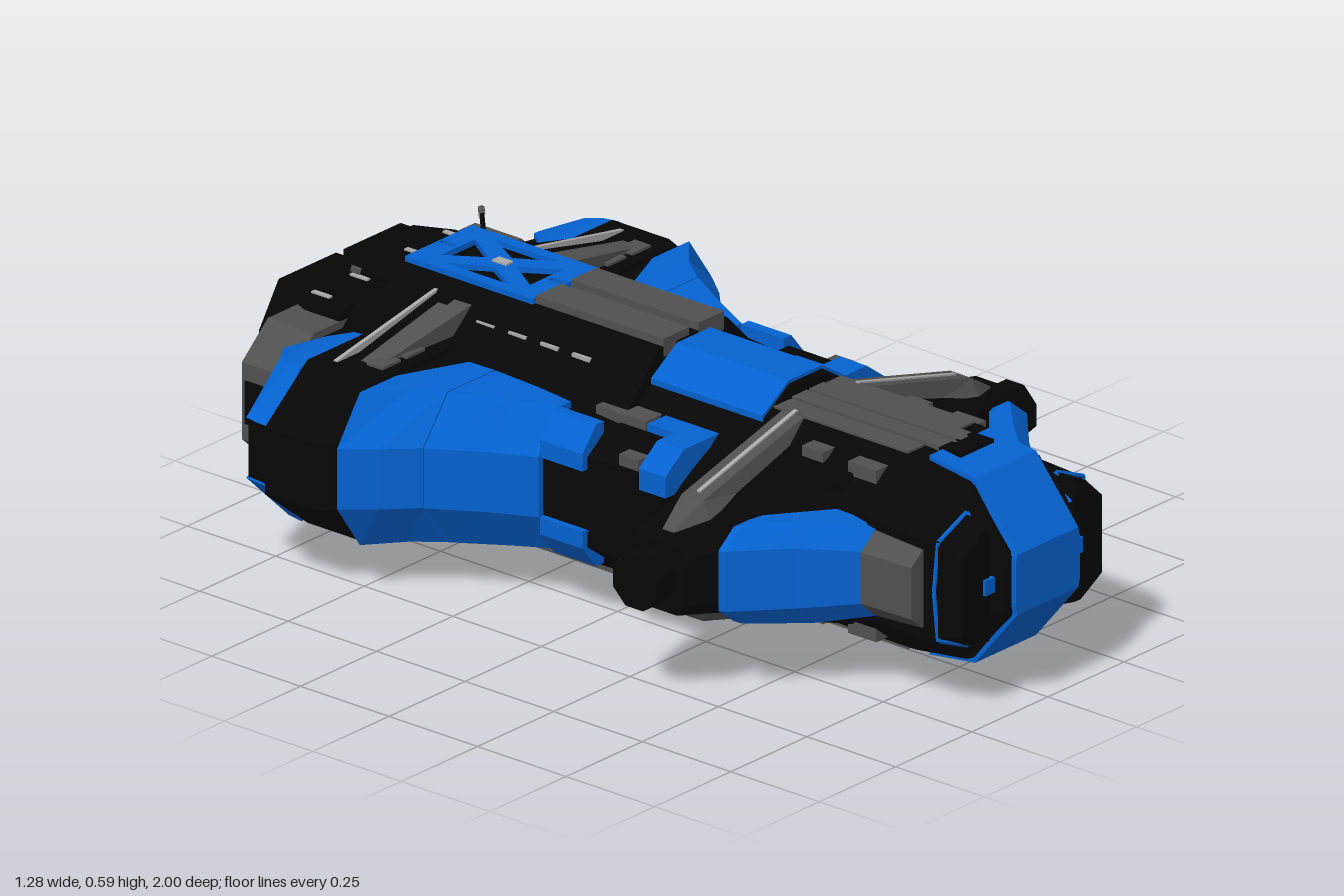
import * as THREE from 'three';

const mat = (color) => new THREE.MeshStandardMaterial({ color, flatShading: true });

// Solid from matching cross-sections [t, [[a, b], ...]] stacked along an axis.
// axis z: (a,b)=(x,y); axis x: (a,b)=(z,y)
function loft(axis, sections) {
  const flip = axis === 'x';
  const place = flip ? (a, b, t) => [t, b, a] : (a, b, t) => [a, b, t];
  let secs = sections.map(([t, p]) => [t, points(p)]);
  if (THREE.ShapeUtils.area(secs[0][1]) < 0) secs = secs.map(([t, p]) => [t, p.slice().reverse()]);
  if (secs[0][0] > secs[secs.length - 1][0]) secs.reverse();
  const pos = [];
  const tri = (...v) => (flip ? [v[0], v[2], v[1]] : v).forEach(([s, i]) => {
    const [t, p] = secs[s];
    pos.push(...place(p[i].x, p[i].y, t));
  });
  const n = secs[0][1].length, last = secs.length - 1;
  for (let s = 0; s < last; s++) for (let i = 0; i < n; i++) {
    const j = (i + 1) % n;
    tri([s, i], [s, j], [s + 1, j]);
    tri([s, i], [s + 1, j], [s + 1, i]);
  }
  for (const [a, b, c] of THREE.ShapeUtils.triangulateShape(secs[0][1], [])) tri([0, a], [0, c], [0, b]);
  for (const [a, b, c] of THREE.ShapeUtils.triangulateShape(secs[last][1], [])) tri([last, a], [last, b], [last, c]);
  const g = new THREE.BufferGeometry();
  g.setAttribute('position', new THREE.Float32BufferAttribute(pos, 3));
  return g;
}

function box(x0, x1, y0, y1, z0, z1) {
  return new THREE.BoxGeometry(x1 - x0, y1 - y0, z1 - z0)
    .translate((x0 + x1) / 2, (y0 + y1) / 2, (z0 + z1) / 2);
}

const vec = (p) => new THREE.Vector3(...p);
const rod = (a, b, r) => new THREE.TubeGeometry(new THREE.LineCurve3(vec(a), vec(b)), 1, r, 6);
const points = (list) => list.map((p) => new THREE.Vector2(...p));

// Symmetric octagon: w/h half sizes, wt half width of the top, hs half height of the sides
const oct = (w, h, wt, hs) => [[w, -hs], [w, hs], [wt, h], [-wt, h], [-w, hs], [-w, -hs], [-wt, -h], [wt, -h]];
// Side pod section: inner x, shoulder x, outer x, side half height, half height
const pod = (xi, xs, xo, hs, h) => [[xi, -h], [xs, -h], [xo, -hs], [xo, hs], [xs, h], [xi, h]];
// Octagon across z for parts that run sideways
const cross = (z, dz, dt, h, ht) => oct(dz, h, dt, ht).map(([a, b]) => [z + a, b]);
// Upright rectangle across z for bars that run sideways
const bar = (z0, z1, y0, y1) => [[z0, y0], [z1, y0], [z1, y1], [z0, y1]];

// Reflected copy with its winding restored
function reflect(geo, sx, sy) {
  const g = geo.index ? geo.toNonIndexed() : geo.clone();
  g.scale(sx, sy, 1);
  if (sx * sy < 0) {
    const p = g.attributes.position;
    for (let i = 0; i < p.count; i += 3) {
      const b = [p.getX(i + 1), p.getY(i + 1), p.getZ(i + 1)];
      p.setXYZ(i + 1, p.getX(i + 2), p.getY(i + 2), p.getZ(i + 2));
      p.setXYZ(i + 2, ...b);
    }
  }
  g.computeVertexNormals();
  return g;
}

export function createModel() {
  const model = new THREE.Group();
  const ship = new THREE.Group();
  ship.name = 'ship';
  ship.position.y = 0.295; // everything below is measured from the mid plane
  model.add(ship);
  const black = mat(0x060606), grey = mat(0x505050), blue = mat(0x0562d0), light = mat(0xa8a8a8);

  // mirror: any of 'x' (left/right) and 'y' (top/bottom)
  function add(name, geo, material, mirror = '') {
    for (const sx of mirror.includes('x') ? [1, -1] : [1])
      for (const sy of mirror.includes('y') ? [1, -1] : [1]) {
        const m = new THREE.Mesh(reflect(geo, sx, sy), material);
        m.name = name;
        ship.add(m);
      }
  }

  // Central hulls
  add('frontHull', loft('z', [[0, oct(0.24, 0.225, 0.11, 0.12)], [0.72, oct(0.24, 0.225, 0.11, 0.12)],
    [0.87, oct(0.16, 0.205, 0.112, 0.12)], [0.985, oct(0.12, 0.075, 0.112, 0.06)]]), black);
  add('rearHull', loft('z', [[0, oct(0.25, 0.275, 0.11, 0.13)], [-0.72, oct(0.27, 0.275, 0.12, 0.13)],
    [-0.82, oct(0.3, 0.19, 0.2, 0.09)]]), black);
  add('midBody', loft('z', [[0.2, pod(0, 0.24, 0.35, 0.07, 0.14)], [-0.14, pod(0, 0.24, 0.35, 0.07, 0.14)]]), black, 'x');

  // Nose
  add('noseCanopy', loft('z', [[0.75, oct(0.1, 0.232, 0.098, 0.2)], [0.88, oct(0.105, 0.215, 0.1, 0.08)],
    [1, oct(0.105, 0.07, 0.1, 0.05)]]), blue);
  add('canopyNotch', box(-0.055, 0.055, 0.2, 0.234, 0.74, 0.8), black, 'y');
  add('noseSide', loft('z', [[0.8, pod(0.1, 0.112, 0.122, 0.1, 0.2)], [0.88, pod(0.1, 0.112, 0.122, 0.1, 0.2)],
    [0.988, pod(0.1, 0.11, 0.118, 0.05, 0.065)]]), black, 'x');
  add('cheek', loft('z', [[0.7, pod(0.13, 0.15, 0.245, 0.12, 0.17)], [0.88, pod(0.13, 0.15, 0.245, 0.11, 0.16)],
    [0.955, pod(0.14, 0.16, 0.23, 0.09, 0.13)]]), black, 'x');
  const trim = [[0.14, 0.1, 0.945], [0.145, 0.155, 0.895], [0.238, 0.115, 0.895], [0.246, 0, 0.89]];
  for (let i = 0; i < 3; i++) add('cheekTrim', rod(trim[i], trim[i + 1], 0.005), blue, 'xy');
  add('cheekLamp', box(0.13, 0.16, -0.018, 0.018, 0.9, 0.962), blue, 'x');
  add('sideIntake', loft('z', [[0.7, pod(0.2, 0.25, 0.29, 0.06, 0.1)], [0.86, pod(0.2, 0.25, 0.285, 0.06, 0.09)]]), grey, 'x');

  // Raised strips along the spine
  add('frontRail', box(0.004, 0.052, 0.2, 0.234, 0.32, 0.75), grey, 'xy');
  add('frontRailOuter', box(0.056, 0.11, 0.2, 0.23, 0.32, 0.7), grey, 'xy');
  add('sideRailRear', box(0.13, 0.18, 0.15, 0.2, 0.46, 0.52), grey, 'xy');
  add('sideRail', box(0.13, 0.18, 0.15, 0.2, 0.59, 0.67), grey, 'xy');
  add('rearRail', box(0.015, 0.1, 0.25, 0.293, -0.36, 0), grey, 'xy');
  for (let i = 0; i < 4; i++)
    add('spineSlit', box(0.158, 0.168, 0.2, 0.226, -0.2 - i * 0.09, -0.15 - i * 0.09), light, 'xy');

  // Blue saddle over the waist with a dark front face
  const saddle = [[-0.14, 0.2], [0.14, 0.2], [0.14, 0.215], [0.055, 0.27], [-0.055, 0.27], [-0.14, 0.215]];
  add('saddle', loft('z', [[0, saddle], [0.315, saddle]]), blue, 'y');
  add('saddleFace', loft('z', [[0.2, saddle], [0.322, saddle]]).scale(0.975, 0.972, 1), black, 'y');

  // Cross-braced hatch
  const hatch = new THREE.Shape(points([[-0.11, -0.18], [0.11, -0.18], [0.11, 0.18], [-0.11, 0.18]]));
  for (const s of [1, -1]) {
    hatch.holes.push(new THREE.Path(points([[0.082 * s, -0.09], [0.082 * s, 0.09], [0.03 * s, 0]])));
    hatch.holes.push(new THREE.Path(points([[-0.055, 0.125 * s], [0.055, 0.125 * s], [0, 0.04 * s]])));
    hatch.holes.push(new THREE.Path(points([[-0.008, 0.135 * s], [0.008, 0.135 * s], [0.008, 0.175 * s], [-0.008, 0.175 * s]])));
  }
  add('braceHatch', new THREE.ExtrudeGeometry(hatch, { depth: 0.015, bevelEnabled: false })
    .rotateX(-Math.PI / 2).translate(0, 0.273, -0.54), blue, 'y');
  add('hatchHub', box(-0.012, 0.012, 0.27, 0.292, -0.56, -0.52), light, 'y');

  // Waist blocks
  const waist = (x, dx) => [[x, 0.07], [0.36, 0.07], [0.36, 0.12 - dx], [0.3, 0.165 - dx], [x, 0.165 - dx]];
  add('waistPanel', loft('z', [[0.155, waist(0.2, 0)], [0.23, waist(0.2, 0)]]), blue, 'xy');
  add('waistInnerPanel', box(0.18, 0.245, 0.1, 0.165, 0.08, 0.23), blue, 'xy');
  add('waistBlock', loft('z', [[0.01, waist(0.25, 0.015)], [0.15, waist(0.25, 0.015)]]), black, 'xy');
  add('waistVent', box(0.28, 0.355, 0.08, 0.135, 0.095, 0.15), grey, 'xy');
  add('waistBlockInner', box(0.18, 0.24, 0.1, 0.165, -0.07, 0.07), grey, 'xy');

  // Front wings
  add('frontWing', loft('x', [[0.1, cross(0.43, 0.25, 0.2, 0.2, 0.1)], [0.25, cross(0.42, 0.21, 0.16, 0.155, 0.1)],
    [0.4, cross(0.385, 0.12, 0.09, 0.11, 0.07)], [0.56, cross(0.375, 0.085, 0.06, 0.08, 0.05)]]), black, 'x');
  add('wingTip', new THREE.CylinderGeometry(0.065, 0.065, 0.1, 8).rotateY(Math.PI / 8)
    .rotateZ(Math.PI / 2).translate(0.575, 0, 0.37), black, 'x');
  add('frontStrut', loft('x', [[0.1, cross(0.375, 0.06, 0.03, 0.23, 0.1)], [0.44, cross(0.375, 0.065, 0.03, 0.14, 0.08)],
    [0.52, cross(0.375, 0.03, 0.015, 0.09, 0.06)]]), grey, 'x');
  add('frontStrutLine', loft('x', [[0.1, bar(0.37, 0.38, 0.2, 0.234)], [0.42, bar(0.37, 0.38, 0.1, 0.149)]]), light, 'xy');
  add('frontFairing', loft('z', [[0.5, pod(0.4, 0.45, 0.5, 0.07, 0.11)], [0.515, pod(0.37, 0.44, 0.495, 0.07, 0.115)],
    [0.62, pod(0.25, 0.33, 0.38, 0.07, 0.12)], [0.725, pod(0.22, 0.25, 0.285, 0.06, 0.1)]]), blue, 'x');

  // Rear wings: black core, blue shells with seams
  add('rearWingCore', loft('z', [[0, pod(0.1, 0.28, 0.34, 0.06, 0.14)], [-0.12, pod(0.1, 0.28, 0.35, 0.06, 0.15)],
    [-0.34, pod(0.1, 0.38, 0.465, 0.06, 0.16)], [-0.5, pod(0.1, 0.5, 0.6, 0.06, 0.17)]]), black, 'x');
  const wing = [[-0.12, 0.26, 0.3, 0.367, 0.165], [-0.22, 0.255, 0.345, 0.415, 0.17], [-0.34, 0.255, 0.41, 0.49, 0.175],
    [-0.41, 0.26, 0.46, 0.56, 0.177], [-0.478, 0.42, 0.54, 0.615, 0.178]];
  for (const [a, b] of [[0, 2], [2, 5]]) {
    const part = wing.slice(a, b + 1).map(([z, xi, xs, xo, h]) => [z, pod(xi, xs, xo, 0.07, h)]);
    part[0][0] -= 0.003; // seam
    add('rearWingShell', loft('z', part), blue, 'x');
  }
  const lip = [[0.295, 0.07], [0.365, 0.07], [0.365, 0.11], [0.32, 0.165], [0.295, 0.165]];
  add('rearWingLip', loft('z', [[0, lip], [-0.12, lip]]), blue, 'xy');

  // Rear ring around the engines
  add('rearRing', loft('z', [[-0.485, pod(0, 0.49, 0.6, 0.075, 0.18)], [-0.5, pod(0, 0.5, 0.62, 0.078, 0.19)],
    [-0.54, pod(0, 0.5, 0.64, 0.078, 0.19)], [-0.66, pod(0, 0.5, 0.64, 0.078, 0.19)]]), black, 'x');
  add('rearStrut', loft('x', [[0.1, bar(-0.65, -0.55, 0.1, 0.257)], [0.42, bar(-0.64, -0.55, 0.1, 0.185)]]), black, 'xy');
  add('rearStrutPlate', loft('x', [[0.1, bar(-0.575, -0.5, 0.1, 0.255)], [0.43, bar(-0.57, -0.52, 0.1, 0.19)]]), grey, 'xy');
  add('rearStrutLine', loft('x', [[0.12, bar(-0.612, -0.602, 0.1, 0.257)], [0.47, bar(-0.612, -0.602, 0.1, 0.193)]]), light, 'xy');
  for (const x of [0.33, 0.41])
    add('ringBlock', box(x - 0.03, x + 0.03, 0.12, 0.196, -0.545, -0.5), grey, 'xy');

  // Rear fairings behind the ring
  add('rearCore', loft('z', [[-0.66, pod(0, 0.5, 0.612, 0.075, 0.165)], [-0.737, pod(0, 0.48, 0.604, 0.075, 0.16)],
    [-0.805, pod(0, 0.36, 0.445, 0.075, 0.14)]]), black, 'x');
  const tail = (xi, xs, xo, h) => [[xi, 0.07], [xo, 0.07], [xs, h], [xi, h]];
  add('rearFairing', loft('z', [[-0.66, tail(0.3, 0.52, 0.62, 0.18)], [-0.7, tail(0.3, 0.515, 0.618, 0.178)],
    [-0.737, tail(0.345, 0.5, 0.612, 0.173)], [-0.8, tail(0.405, 0.42, 0.45, 0.15)]]), blue, 'xy');

  // Engines
  add('outerEngine', loft('z', [[-0.78, pod(0.2, 0.34, 0.425, 0.09, 0.165)], [-0.91, pod(0.2, 0.34, 0.425, 0.09, 0.165)]]), grey, 'x');
  add('outerEngineBand', box(0.28, 0.428, -0.05, 0.05, -0.9, -0.78), black, 'x');
  add('outerNozzle', loft('z', [[-0.9, pod(0.29, 0.33, 0.4, 0.07, 0.13)], [-0.918, pod(0.29, 0.32, 0.385, 0.06, 0.115)]]), light, 'x');
  add('engineBlock', loft('z', [[-0.78, oct(0.29, 0.19, 0.24, 0.11)], [-0.88, oct(0.29, 0.19, 0.24, 0.11)],
    [-0.965, oct(0.28, 0.19, 0.2, 0.08)], [-0.98, oct(0.27, 0.175, 0.19, 0.07)]]), black);
  const plate = [[0.07, 0.05], [0.195, 0.05], [0.195, 0.08], [0.15, 0.115], [0.07, 0.115]];
  add('nozzlePlate', loft('z', [[-0.97, plate], [-0.986, plate]]), light, 'xy');
  const capBar = [[0.012, 0.125], [0.17, 0.125], [0.22, 0.085], [0.265, 0.085], [0.2, 0.185], [0.012, 0.185]];
  add('nozzleFrameTop', loft('z', [[-0.9, capBar], [-1, capBar]]), black, 'xy');
  add('nozzleFrameMiddle', box(0.012, 0.26, -0.04, 0.04, -0.998, -0.9), black, 'x');
  add('nozzleFrameInner', box(0.01, 0.06, -0.18, 0.18, -0.996, -0.9), black, 'x');
  add('nozzleFrameOuter', box(0.205, 0.265, -0.09, 0.09, -0.999, -0.9), black, 'x');
  for (const x of [0.09, 0.215])
    add('engineSlit', box(x - 0.006, x + 0.006, 0.17, 0.194, -0.89, -0.84), light, 'xy');

  // Antennas
  add('antenna', rod([0.15, 0.235, -0.72], [0.215, 0.276, -0.785], 0.006), black, 'xy');
  add('antennaTip', rod([0.2, 0.267, -0.77], [0.215, 0.276, -0.785], 0.008), grey, 'xy');
  return model;
}
